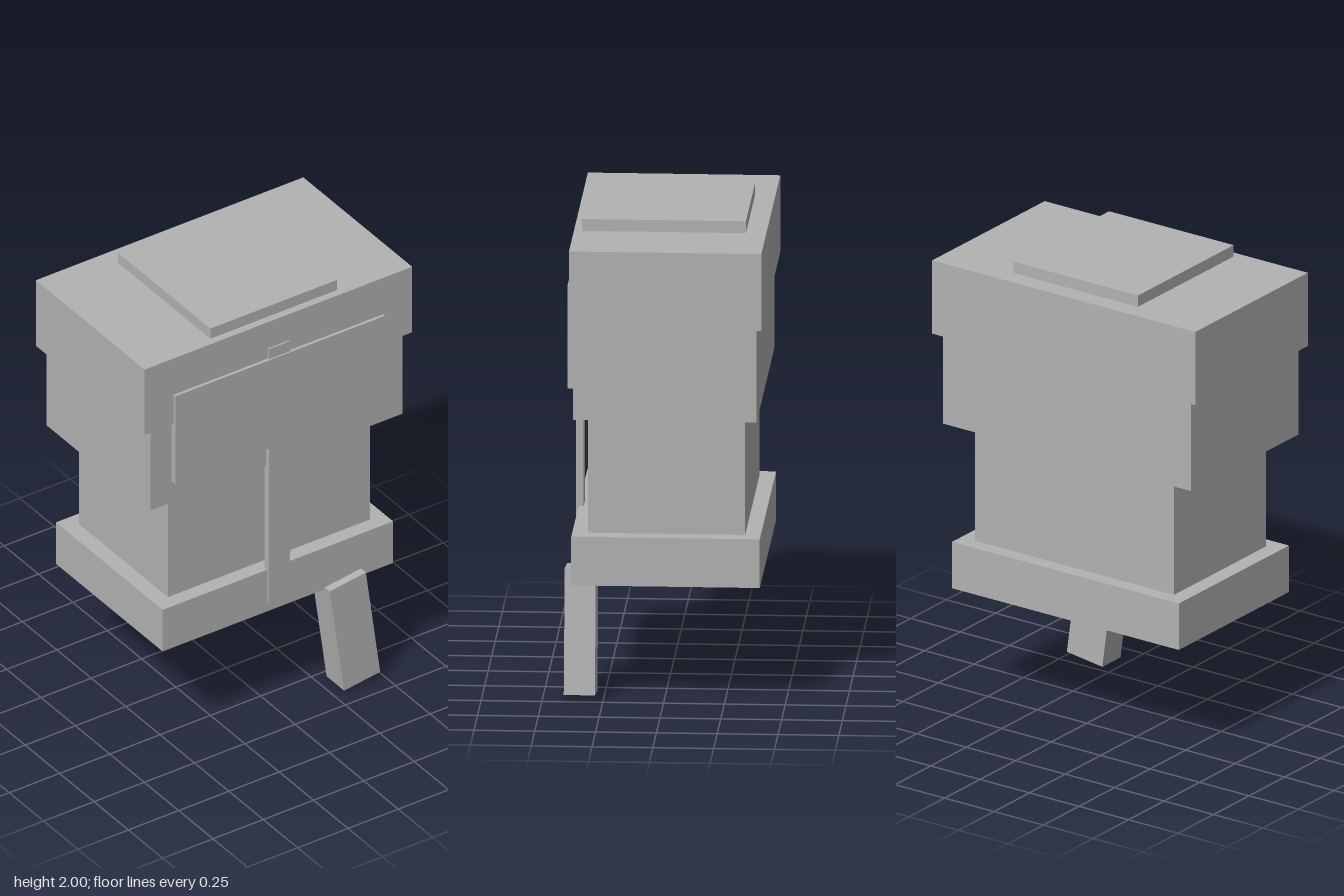
import * as THREE from 'three';

export function createModel() {
  const model = new THREE.Group();
  const grey = new THREE.MeshStandardMaterial({ color: 0xb2b2b2 });
  grey.name = 'grey';

  // Block centred on x, given its half width and its y and z ranges
  function block(name, halfWidth, y0, y1, z0, z1) {
    const geometry = new THREE.BoxGeometry(halfWidth * 2, y1 - y0, z1 - z0);
    const mesh = new THREE.Mesh(geometry, grey);
    mesh.name = name;
    mesh.position.set(0, (y0 + y1) / 2, (z0 + z1) / 2);
    model.add(mesh);
    return mesh;
  }

  // Stacked body, bottom to top
  block('base', 0.573, 0.514, 0.72, -0.4, 0.375);
  block('lowerBody', 0.502, 0.72, 1.228, -0.336, 0.31);
  block('upperBody', 0.627, 1.228, 1.625, -0.39, 0.365);
  block('rim', 0.665, 1.625, 1.95, -0.412, 0.379);
  block('topPlate', 0.315, 1.95, 2, -0.328, 0.345);

  // Front panel with the upright strip behind it
  block('frontPanel', 0.521, 1.333, 1.77, 0.36, 0.393);
  block('frontStrip', 0.052, 0.565, 1.82, 0.354, 0.386);

  // Slanted leg under the front edge
  const leg = block('leg', 0.0905, 0.0125, 0.5375, 0.283, 0.411);
  leg.position.x = 0.359;
  leg.rotation.z = 0.136;

  return model;
}
